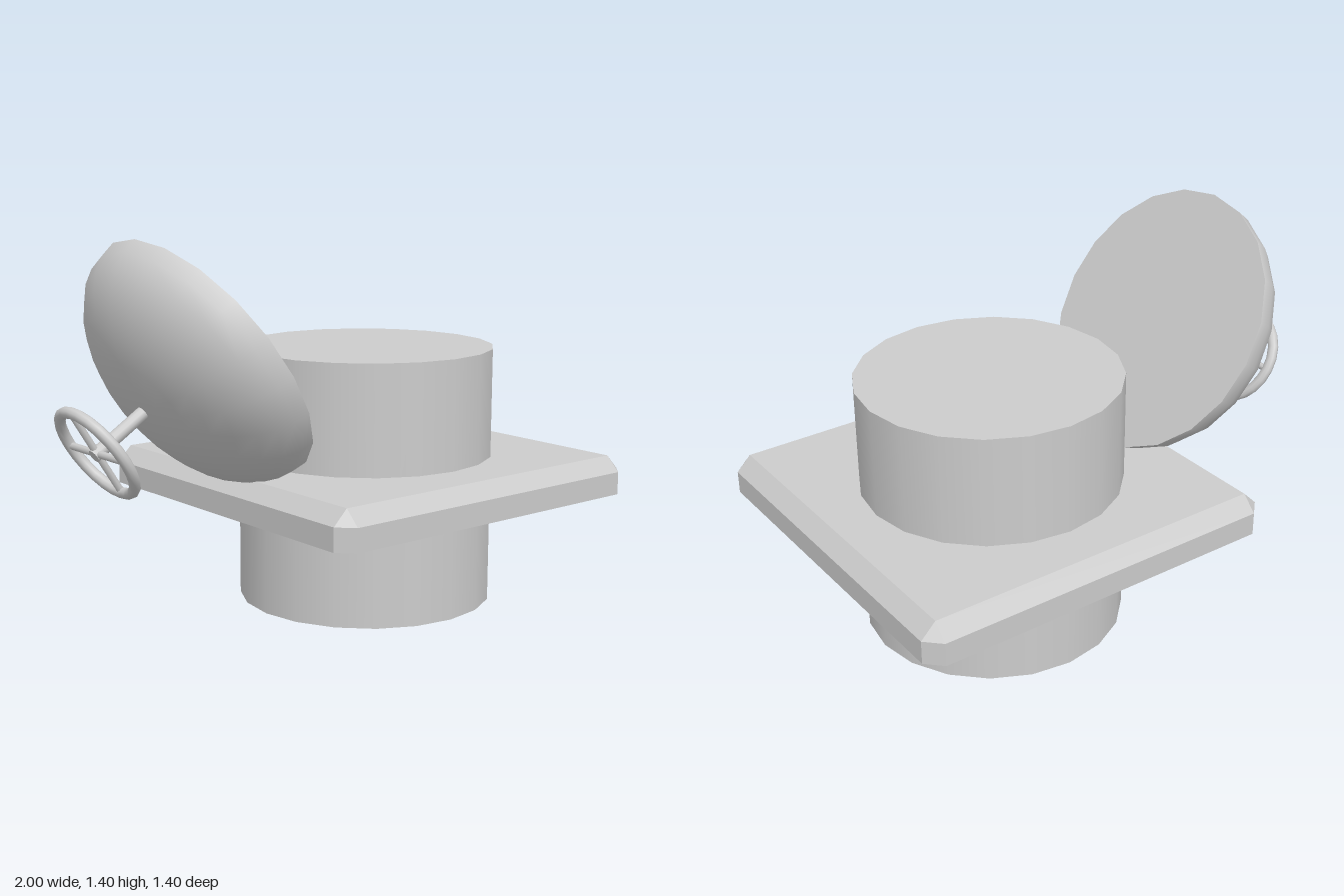
import * as THREE from 'three';
import { ConvexGeometry } from 'three/addons/geometries/ConvexGeometry.js';

const material = new THREE.MeshStandardMaterial({ color: 0xcccccc });

function add(parent, name, geometry, x = 0, y = 0, z = 0) {
  const mesh = new THREE.Mesh(geometry, material);
  mesh.name = name;
  mesh.position.set(x, y, z);
  parent.add(mesh);
  return mesh;
}

// Square plate with bevelled top edges and upright corners, flat underneath
function bevelledPlate(half, height, bevel) {
  const inner = half - bevel;
  const points = [];
  for (const sx of [-1, 1]) {
    for (const sz of [-1, 1]) {
      for (const y of [0, height - bevel]) {
        points.push(new THREE.Vector3(sx * half, y, sz * inner));
        points.push(new THREE.Vector3(sx * inner, y, sz * half));
      }
      points.push(new THREE.Vector3(sx * inner, height, sz * inner));
    }
  }
  return new ConvexGeometry(points);
}

export function createModel() {
  const model = new THREE.Group();
  model.name = 'hatch';

  // Shaft and the flange around it
  add(model, 'shaft', new THREE.CylinderGeometry(0.48, 0.48, 0.96, 20), 0.3, 0.48, 0);
  add(model, 'flange', bevelledPlate(0.7, 0.14, 0.055), 0.3, 0.413, 0);

  // Open lid: local +y points out of the dome
  const lid = new THREE.Group();
  lid.name = 'lid';
  lid.position.set(-0.45, 0.975, 0);
  lid.rotation.z = THREE.MathUtils.degToRad(122.4);
  model.add(lid);

  const dome = new THREE.SphereGeometry(1, 20, 8, 0, Math.PI * 2, 0, Math.PI / 2);
  add(lid, 'lidDome', dome.scale(0.504, 0.3, 0.504));
  add(lid, 'lidUnderside', new THREE.CircleGeometry(0.504, 20).rotateX(Math.PI / 2));

  // Hand wheel on its stem
  add(lid, 'wheelStem', new THREE.CylinderGeometry(0.024, 0.024, 0.27, 12), 0, 0.395, 0);
  const wheel = new THREE.Group();
  wheel.name = 'handWheel';
  wheel.position.y = 0.515;
  lid.add(wheel);
  add(wheel, 'wheelRim', new THREE.TorusGeometry(0.175, 0.02, 10, 24).rotateX(Math.PI / 2));
  for (const angle of [0, Math.PI / 2]) {
    const spoke = new THREE.CylinderGeometry(0.013, 0.013, 0.35, 8).rotateX(Math.PI / 2);
    add(wheel, 'wheelSpoke', spoke.rotateY(angle));
  }

  return model;
}
